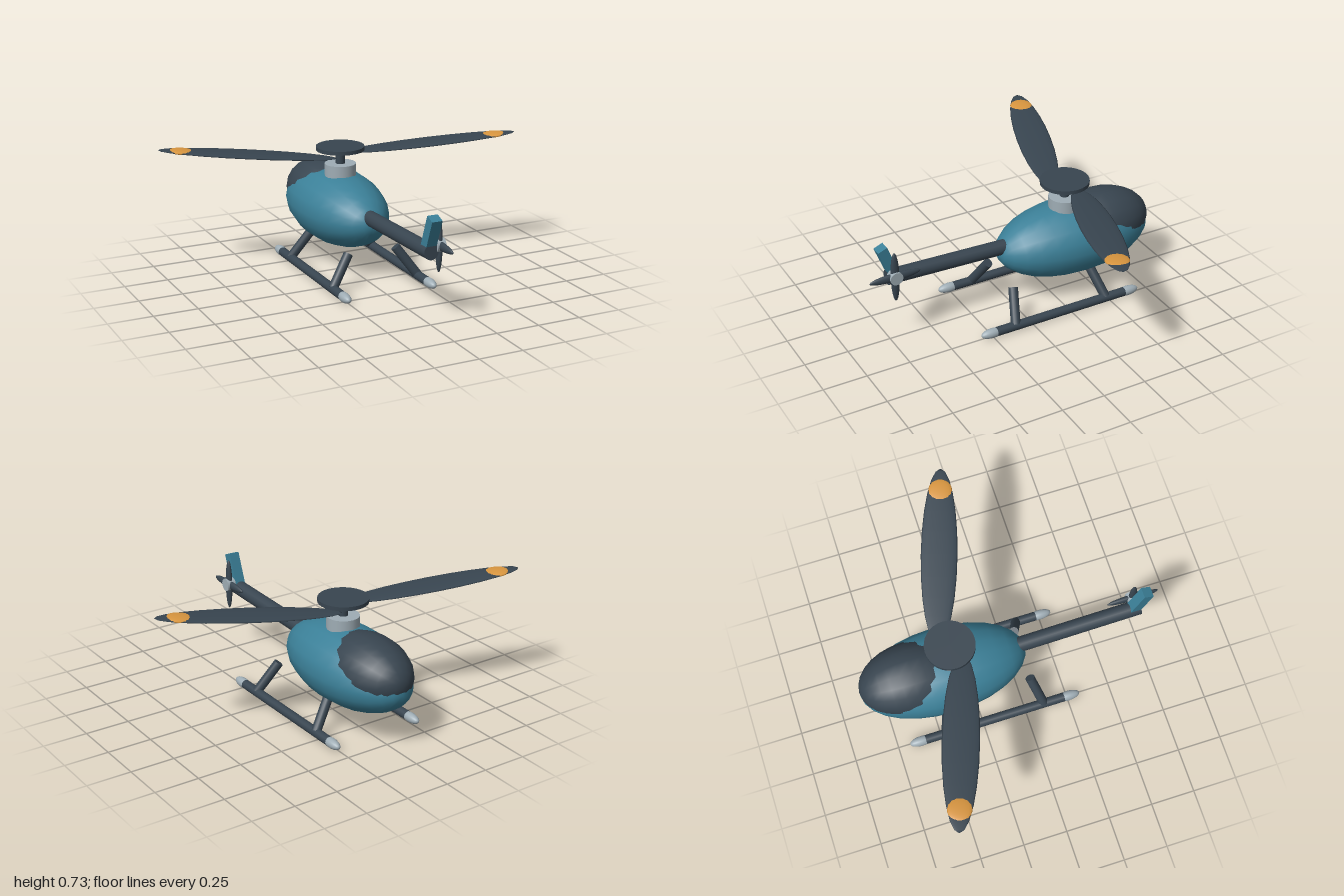
import * as THREE from 'three';

const mat = (name, color) => {
  const m = new THREE.MeshStandardMaterial({ color });
  m.name = name;
  return m;
};

export function createModel() {
  const model = new THREE.Group();
  model.name = 'helicopter';
  const teal = mat('teal paint', 0x3b8098);
  const dark = mat('dark slate', 0x384550);
  const silver = mat('silver', 0x9fadb5);
  const orange = mat('orange', 0xd9963f);

  const add = (name, geo, material, pos = [0, 0, 0], parent = model) => {
    const mesh = new THREE.Mesh(geo, material);
    mesh.name = name;
    mesh.position.set(...pos);
    parent.add(mesh);
    return mesh;
  };
  // Ellipsoid with its poles on the x axis, or on z when alongZ is set
  const ellipsoid = (rx, ry, rz, alongZ = false, w = 16, h = 12) => {
    const g = new THREE.SphereGeometry(1, w, h);
    if (alongZ) g.rotateX(Math.PI / 2);
    else g.rotateZ(Math.PI / 2);
    return g.scale(rx, ry, rz);
  };
  // Round bar between two points
  const bar = (name, a, b, r, material) => {
    const from = new THREE.Vector3(...a), to = new THREE.Vector3(...b);
    const dir = to.clone().sub(from);
    const mesh = add(name, new THREE.CylinderGeometry(r, r, dir.length(), 16), material);
    mesh.position.copy(from).lerp(to, 0.5);
    mesh.quaternion.setFromUnitVectors(new THREE.Vector3(0, 1, 0), dir.normalize());
    return mesh;
  };

  // Fuselage, with the nose towards -z, and the canopy bulging through it
  add('body', ellipsoid(0.243, 0.213, 0.475, true, 18, 14), teal, [0, 0.337, -0.397]);
  add('canopy', ellipsoid(0.2, 0.186, 0.3, true, 18, 14), dark, [0, 0.38, -0.573]);

  // Tail boom and fin
  bar('tailBoom', [0, 0.375, -0.1], [0, 0.4, 0.75], 0.043, dark);
  const fin = add('tailFin', new THREE.BoxGeometry(0.06, 0.2, 0.057), teal, [0, 0.497, 0.744]);
  fin.rotation.x = 0.37;

  // Tail rotor: two crossed lens-shaped blades on a hub
  const tailRotor = new THREE.Group();
  tailRotor.name = 'tailRotor';
  tailRotor.position.set(0.055, 0.425, 0.727);
  model.add(tailRotor);
  add('tailHub', new THREE.CylinderGeometry(0.037, 0.037, 0.05, 16).rotateZ(Math.PI / 2),
    silver, [0, 0, 0], tailRotor);
  for (let i = 0; i < 2; i++) {
    const blade = add('tailBlade', ellipsoid(0.017, 0.025, 0.149, true), dark, [0, 0, 0], tailRotor);
    blade.rotation.x = i * Math.PI / 2;
  }

  // Mast and rotor cap
  const hubZ = -0.343;
  add('mastBase', new THREE.CylinderGeometry(0.09, 0.09, 0.12, 24), silver, [0, 0.54, hubZ]);
  add('mast', new THREE.CylinderGeometry(0.027, 0.027, 0.1, 16), dark, [0, 0.64, hubZ]);
  add('rotorCap', new THREE.CylinderGeometry(0.138, 0.138, 0.022, 32), dark, [0, 0.69, hubZ]);

  // Main rotor: two upswept blades with painted tips
  for (let i = 0; i < 2; i++) {
    const arm = new THREE.Group();
    arm.name = 'rotorArm';
    arm.position.set(0, 0.688, hubZ);
    arm.rotation.y = i * Math.PI;
    model.add(arm);
    const blade = new THREE.Group();
    blade.name = 'rotorBlade';
    blade.position.set(0.52, 0, 0.1);
    blade.rotation.set(0, -0.315, 0.085);
    arm.add(blade);
    add('bladeSkin', ellipsoid(0.5, 0.012, 0.1), dark, [0, 0, 0], blade);
    add('bladeTip', ellipsoid(0.075, 0.0125, 0.066), orange, [0.368, 0, 0], blade);
  }

  // Landing gear, mirrored left and right
  for (const s of [1, -1]) {
    bar('skid', [s * 0.26, 0.03, -0.62], [s * 0.26, 0.03, 0.26], 0.026, dark);
    for (const z of [-0.615, 0.255]) {
      add('skidCap', ellipsoid(0.028, 0.028, 0.068, true), silver, [s * 0.26, 0.03, z]);
    }
    bar('frontStrut', [s * 0.26, 0.035, -0.47], [s * 0.145, 0.2, -0.423], 0.027, dark);
    bar('rearStrut', [s * 0.26, 0.035, 0.11], [s * 0.145, 0.2, 0.063], 0.027, dark);
  }
  return model;
}
